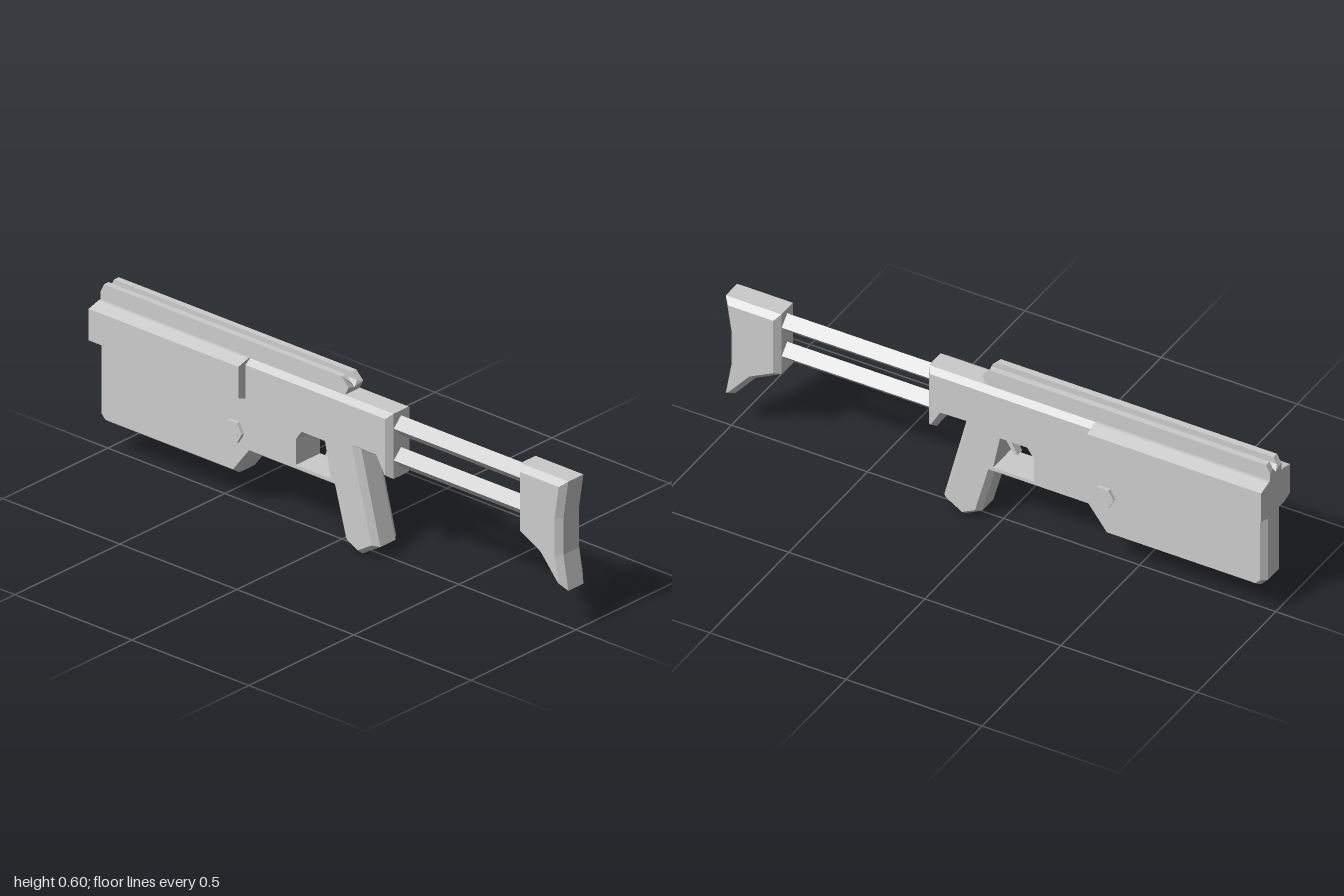
import * as THREE from 'three';

const mat = new THREE.MeshStandardMaterial({ color: 0xcccccc, flatShading: true });

function add(group, name, geometry) {
  const mesh = new THREE.Mesh(geometry, mat);
  mesh.name = name;
  group.add(mesh);
  return mesh;
}

const toVectors = (points) => points.map(([x, y]) => new THREE.Vector2(x, y));

// Mitred inset of a counter-clockwise outline
function insetOutline(pts, d) {
  const n = pts.length;
  const normal = (a, b) => new THREE.Vector2(a.y - b.y, b.x - a.x).normalize();
  return pts.map((p, i) => {
    const n1 = normal(pts[(i + n - 1) % n], p);
    const n2 = normal(p, pts[(i + 1) % n]);
    return p.clone().addScaledVector(n1.clone().add(n2), d / (1 + n1.dot(n2)));
  });
}

// Plate in the xy plane with chamfered rims and an optional straight-cut (clockwise) hole
function chamferedPlate(points, inset, halfFlat, halfWidth, holePoints = []) {
  const outer = toVectors(points);
  const inner = insetOutline(outer, inset);
  const hole = toVectors(holePoints);
  const pos = [];
  const tri = (...corners) => corners.forEach(([p, z]) => pos.push(p.x, p.y, z));
  const wall = (low, zLow, high, zHigh) => low.forEach((_, i) => {
    const j = (i + 1) % low.length;
    tri([low[i], zLow], [low[j], zLow], [high[j], zHigh]);
    tri([low[i], zLow], [high[j], zHigh], [high[i], zHigh]);
  });
  wall(inner, -halfWidth, outer, -halfFlat);
  wall(outer, -halfFlat, outer, halfFlat);
  wall(outer, halfFlat, inner, halfWidth);
  wall(hole, -halfWidth, hole, halfWidth);
  const all = [...inner, ...hole];
  const faces = THREE.ShapeUtils.triangulateShape(inner, hole.length ? [hole] : []);
  for (const [a, b, c] of faces) {
    tri([all[a], halfWidth], [all[b], halfWidth], [all[c], halfWidth]);
    tri([all[c], -halfWidth], [all[b], -halfWidth], [all[a], -halfWidth]);
  }
  const geo = new THREE.BufferGeometry();
  geo.setAttribute('position', new THREE.Float32BufferAttribute(pos, 3));
  geo.computeVertexNormals();
  return geo;
}

// Extrudes a (z, y) section along x between two ends
function alongX(section, x0, x1) {
  const shape = new THREE.Shape(toVectors(section.map(([z, y]) => [-z, y])));
  const geo = new THREE.ExtrudeGeometry(shape, { depth: x1 - x0, bevelEnabled: false });
  return geo.rotateY(Math.PI / 2).translate(x0, 0, 0);
}

export function createModel() {
  const model = new THREE.Group();
  model.name = 'rifle';

  // Receiver, grip and trigger guard in one chamfered plate
  const receiver = [
    [-0.992, 0.535], [-0.992, 0.145], [-0.965, 0.118], [-0.405, 0.118], [-0.337, 0.207],
    [0.01, 0.207], [0.058, 0.032], [0.12, 0], [0.197, 0.047], [0.115, 0.367],
    [0.19, 0.365], [0.225, 0.305], [0.253, 0.305], [0.253, 0.535],
  ];
  const guardHole = [
    [-0.145, 0.235], [-0.145, 0.325], [-0.12, 0.36], [-0.02, 0.36], [0.005, 0.235],
  ];
  add(model, 'receiver', chamferedPlate(receiver, 0.016, 0.036, 0.058, guardHole));

  // Trigger
  const triggerShape = new THREE.Shape(toVectors([
    [-0.015, 0.365], [-0.04, 0.365], [-0.037, 0.325], [-0.06, 0.28], [-0.047, 0.28], [-0.017, 0.325],
  ]));
  add(model, 'trigger', new THREE.ExtrudeGeometry(triggerShape, { depth: 0.03, bevelEnabled: false })
    .translate(0, 0, -0.015));

  // Wide upper shroud over the front half
  add(model, 'shroud', alongX([
    [0.045, 0.537], [-0.045, 0.537], [-0.092, 0.524], [-0.092, 0.413],
    [-0.055, 0.4], [0.055, 0.4], [0.092, 0.413], [0.092, 0.524],
  ], -1, -0.36));

  // Sighting rail with a V groove, ends angled by height
  const rail = alongX([
    [-0.035, 0.53], [0.035, 0.53], [0.035, 0.565], [0.035, 0.595], [0.013, 0.595], [0.013, 0.572],
    [0, 0.552], [-0.013, 0.572], [-0.013, 0.595], [-0.035, 0.595], [-0.035, 0.565],
  ], -1, 0.06);
  const p = rail.attributes.position;
  for (let i = 0; i < p.count; i++) {
    const rise = p.getY(i) - 0.565;
    if (p.getX(i) > 0) p.setX(i, 0.06 - (rise > 0 ? rise : -rise * 0.5));
    else p.setX(i, -1 + Math.max(rise, 0) * 0.5);
  }
  rail.computeVertexNormals();
  add(model, 'sightRail', rail);

  // Hexagonal pivot pin through the receiver
  add(model, 'pivotPin', new THREE.CylinderGeometry(0.04, 0.04, 0.14, 6)
    .rotateY(Math.PI / 2).rotateX(Math.PI / 2).translate(-0.405, 0.275, 0));

  // Diamond-section stock rods
  for (const [name, y] of [['upperStockRod', 0.482], ['lowerStockRod', 0.37]]) {
    add(model, name, new THREE.CylinderGeometry(0.035, 0.035, 0.62, 4)
      .rotateZ(Math.PI / 2).translate(0.525, y, 0));
  }

  // Shoulder stock
  add(model, 'shoulderStock', chamferedPlate([
    [0.795, 0.535], [0.795, 0.3], [0.89, 0.25], [0.965, 0.162], [1, 0.15],
    [0.979, 0.27], [0.979, 0.4], [1, 0.535],
  ], 0.018, 0.036, 0.058));

  return model;
}
